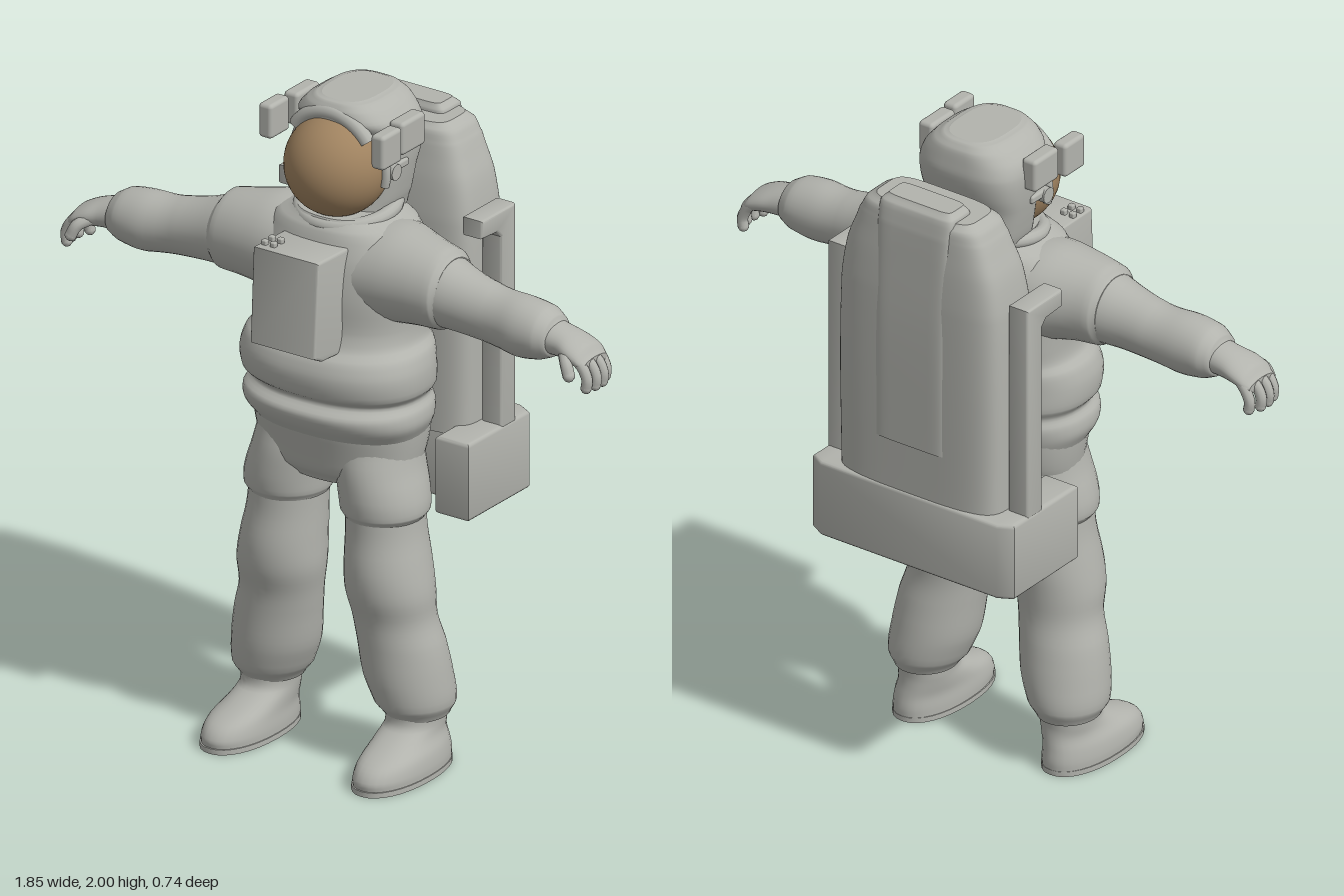
import * as THREE from 'three';
import { toCreasedNormals } from 'three/addons/utils/BufferGeometryUtils.js';
import { RoundedBoxGeometry } from 'three/addons/geometries/RoundedBoxGeometry.js';

const fabric = new THREE.MeshStandardMaterial({ color: 0xb2b3ad });
fabric.name = 'suit grey';
const gold = new THREE.MeshStandardMaterial({ color: 0xa08360 });
gold.name = 'visor gold';

// Closed loft through superellipse sections, splined along the axis.
// Axis y rows: [y, centreX, centreZ, halfX, halfZ]; axis x rows: [x, centreY, centreZ, halfY, halfZ]
function loft(rows, { axis = 'y', n = 2, seg = 32, steps = 4 } = {}) {
  const rings = [];
  const spline = (a, b, c, d, t) => {
    const m0 = (c - a) / 2, m1 = (d - b) / 2, t2 = t * t, t3 = t2 * t;
    return (2 * t3 - 3 * t2 + 1) * b + (t3 - 2 * t2 + t) * m0 + (3 * t2 - 2 * t3) * c + (t3 - t2) * m1;
  };
  for (let i = 0; i < rows.length - 1; i++) {
    const [a, b, c, d] = [rows[Math.max(i - 1, 0)], rows[i], rows[i + 1], rows[Math.min(i + 2, rows.length - 1)]];
    for (let s = 0; s < steps; s++) {
      const t = s / steps;
      rings.push(b.map((v, k) => k === 0 ? v + (c[0] - v) * t : spline(a[k], v, c[k], d[k], t)));
    }
  }
  rings.push(rows[rows.length - 1]);
  const pos = [], idx = [];
  const pw = v => Math.sign(v) * Math.pow(Math.abs(v), 2 / n);
  const put = (l, u, v) => axis === 'y' ? pos.push(u, l, v) : pos.push(l, u, v);
  const ring = ([l, cu, cv, ru, rv]) => {
    for (let j = 0; j < seg; j++) {
      const t = j / seg * Math.PI * 2;
      put(l, cu + ru * pw(Math.cos(t)), cv + rv * pw(Math.sin(t)));
    }
  };
  const tri = (a, b, c) => axis === 'y' ? idx.push(a, b, c) : idx.push(a, c, b);
  rings.forEach(ring);
  for (let i = 0; i < rings.length - 1; i++) for (let j = 0; j < seg; j++) {
    const a = i * seg + j, b = i * seg + (j + 1) % seg;
    tri(a, a + seg, b);
    tri(b, a + seg, b + seg);
  }
  // end caps with their own vertices
  [rings[0], rings[rings.length - 1]].forEach((r, e) => {
    const base = pos.length / 3;
    ring(r);
    put(r[0], r[1], r[2]);
    for (let j = 0; j < seg; j++) {
      const a = base + j, b = base + (j + 1) % seg;
      e ? tri(b, a, base + seg) : tri(a, b, base + seg);
    }
  });
  const g = new THREE.BufferGeometry();
  g.setAttribute('position', new THREE.Float32BufferAttribute(pos, 3));
  g.setIndex(idx);
  g.computeVertexNormals();
  return g;
}

// Mirror across x and restore the winding
function mirror(geo) {
  const g = geo.index ? geo.toNonIndexed() : geo.clone();
  for (const key of ['position', 'normal']) {
    const a = g.attributes[key];
    for (let i = 0; i < a.count; i += 3) {
      const v = [0, 2, 1].map(k => [-a.getX(i + k), a.getY(i + k), a.getZ(i + k)]);
      v.forEach((p, k) => a.setXYZ(i + k, ...p));
    }
  }
  return g;
}

const box = (w, h, d, x, y, z, r = 0.012) => new RoundedBoxGeometry(w, h, d, 3, r).translate(x, y, z);

// Extruded outline with a bevel, centred on its depth
function slab(points, depth, bevel) {
  const shape = new THREE.Shape(points.map(p => new THREE.Vector2(...p)));
  const g = new THREE.ExtrudeGeometry(shape, {
    depth: depth - 2 * bevel, bevelSize: bevel, bevelThickness: bevel, bevelOffset: -bevel, bevelSegments: 3,
  });
  g.translate(0, 0, bevel - depth / 2);
  return toCreasedNormals(g, 0.6);
}

export function createModel() {
  const root = new THREE.Group();
  root.name = 'astronaut';
  const add = (name, geo, mat = fabric) => {
    const m = new THREE.Mesh(geo, mat);
    m.name = name;
    root.add(m);
  };
  const pair = (name, geo) => {
    add(name + 'Left', geo);
    add(name + 'Right', mirror(geo));
  };

  // Torso with waist folds, and hips
  add('torso', loft([
    [1.665, 0, 0.045, 0.14, 0.14], [1.63, 0, 0.05, 0.21, 0.16], [1.55, 0, 0.055, 0.255, 0.18],
    [1.45, 0, 0.06, 0.255, 0.19], [1.35, 0, 0.06, 0.25, 0.19], [1.3, 0, 0.07, 0.255, 0.195],
    [1.27, 0, 0.085, 0.28, 0.21], [1.22, 0, 0.095, 0.293, 0.215], [1.16, 0, 0.09, 0.29, 0.21],
    [1.13, 0, 0.08, 0.27, 0.19], [1.1, 0, 0.09, 0.285, 0.21], [1.06, 0, 0.09, 0.287, 0.2],
    [1.02, 0, 0.08, 0.268, 0.18], [0.98, 0, 0.07, 0.25, 0.16],
  ].reverse(), { n: 2.3, seg: 48 }));
  add('hips', loft([
    [0.86, 0, 0.09, 0.15, 0.11], [0.9, 0, 0.085, 0.24, 0.145], [0.96, 0, 0.075, 0.26, 0.17], [1.05, 0, 0.075, 0.27, 0.19],
  ], { n: 2.3, seg: 48 }));

  // Trousers, legs, boots
  pair('thighCover', loft([
    [0.765, 0.165, 0.1, 0.115, 0.12], [0.785, 0.166, 0.1, 0.128, 0.132], [0.84, 0.16, 0.098, 0.128, 0.14],
    [0.92, 0.142, 0.09, 0.122, 0.145], [1, 0.13, 0.08, 0.12, 0.14],
  ]));
  pair('leg', loft([
    [0.16, 0.25, 0.06, 0.09, 0.1], [0.2, 0.245, 0.065, 0.116, 0.122], [0.28, 0.227, 0.075, 0.13, 0.127],
    [0.38, 0.212, 0.085, 0.13, 0.12], [0.46, 0.195, 0.095, 0.125, 0.115], [0.54, 0.187, 0.105, 0.131, 0.126],
    [0.62, 0.18, 0.105, 0.125, 0.13], [0.72, 0.17, 0.1, 0.115, 0.122], [0.82, 0.165, 0.1, 0.112, 0.12],
  ]));
  pair('boot', loft([
    [0.012, 0.262, 0.153, 0.093, 0.197], [0.04, 0.262, 0.153, 0.093, 0.197], [0.075, 0.26, 0.14, 0.088, 0.178],
    [0.11, 0.252, 0.1, 0.08, 0.132], [0.14, 0.25, 0.07, 0.078, 0.1], [0.19, 0.25, 0.065, 0.08, 0.1],
  ], { n: 2.2 }));
  pair('sole', loft([[0, 0.262, 0.155, 0.096, 0.2], [0.016, 0.262, 0.155, 0.096, 0.2]], { n: 2.2, steps: 1 }));

  // Shoulders, arms, hands
  pair('shoulder', loft([
    [0.08, 1.5, 0.055, 0.14, 0.17], [0.2, 1.505, 0.065, 0.145, 0.155], [0.3, 1.505, 0.08, 0.13, 0.13],
    [0.375, 1.5, 0.085, 0.12, 0.115], [0.395, 1.497, 0.085, 0.1, 0.1],
  ], { axis: 'x' }));
  pair('arm', loft([
    [0.36, 1.497, 0.085, 0.108, 0.105], [0.45, 1.482, 0.09, 0.094, 0.09], [0.53, 1.47, 0.092, 0.087, 0.083],
    [0.58, 1.464, 0.095, 0.086, 0.083], [0.65, 1.46, 0.1, 0.09, 0.088], [0.72, 1.46, 0.1, 0.08, 0.084],
    [0.755, 1.457, 0.1, 0.062, 0.068], [0.765, 1.456, 0.1, 0.045, 0.05],
  ], { axis: 'x' }));
  pair('glove', loft([
    [0.74, 1.456, 0.1, 0.05, 0.06], [0.79, 1.45, 0.1, 0.044, 0.062], [0.83, 1.442, 0.103, 0.038, 0.07],
    [0.87, 1.428, 0.104, 0.032, 0.07], [0.895, 1.413, 0.104, 0.018, 0.058],
  ], { axis: 'x' }));
  const digit = (name, pts, r) => {
    const curve = new THREE.CatmullRomCurve3(pts.map(p => new THREE.Vector3(...p)));
    pair(name, new THREE.TubeGeometry(curve, 10, r, 10));
    pair(name + 'Tip', new THREE.SphereGeometry(r, 10, 8).translate(...pts[pts.length - 1]));
  };
  [0.05, 0.085, 0.12, 0.153].forEach((z, i) => {
    const reach = [-0.015, 0, 0, -0.008][i];
    digit('finger' + (i + 1), [[0.86, 1.43, z], [0.893 + reach, 1.408, z], [0.908 + reach, 1.375, z], [0.905 + reach, 1.35, z]], 0.0165);
  });
  digit('thumb', [[0.81, 1.44, 0.14], [0.845, 1.42, 0.178], [0.86, 1.39, 0.186]], 0.018);

  // Helmet, visor, rim, collar
  add('helmet', loft([
    [1.65, 0, -0.01, 0.13, 0.11], [1.7, 0, -0.015, 0.145, 0.105], [1.78, 0, -0.02, 0.16, 0.105],
    [1.84, 0, -0.03, 0.168, 0.115], [1.9, 0, -0.025, 0.17, 0.13], [1.94, 0, -0.005, 0.16, 0.145],
    [1.975, 0, -0.002, 0.13, 0.14], [1.995, 0, 0, 0.1, 0.125], [2, 0, 0, 0.08, 0.11],
  ], { n: 2.9, seg: 48 }));
  add('visor', new THREE.SphereGeometry(0.153, 40, 28).translate(0, 1.8, 0.1), gold);
  add('visorRim', new THREE.TorusGeometry(0.158, 0.014, 10, 40, Math.PI * 1.16).rotateZ(-Math.PI * 0.08).translate(0, 1.8, 0.085));
  add('brim', new THREE.TorusGeometry(0.152, 0.022, 10, 32, Math.PI * 0.6).rotateZ(Math.PI * 0.2).translate(0, 1.812, 0.125));
  add('collar', new THREE.TorusGeometry(0.138, 0.022, 12, 40).rotateX(Math.PI / 2 + 0.15).translate(0, 1.66, 0.045));
  pair('lampArm', box(0.05, 0.1, 0.115, 0.182, 1.91, 0.015));
  pair('lamp', box(0.046, 0.105, 0.095, 0.194, 1.907, 0.135));
  pair('earKnob', new THREE.CylinderGeometry(0.024, 0.024, 0.03, 16).rotateZ(Math.PI / 2).translate(0.163, 1.8, 0.06));
  pair('earStrap', box(0.02, 0.025, 0.07, 0.163, 1.81, 0.025, 0.008));

  // Chest control unit
  const chest = slab([[0.15, 1.6], [0.355, 1.605], [0.37, 1.315], [0.33, 1.295], [0.15, 1.285]], 0.225, 0.008);
  add('chestUnit', chest.rotateY(-Math.PI / 2));
  [-0.095, -0.065].forEach(x => [0.285, 0.32].forEach(z => add('chestSwitch', box(0.018, 0.018, 0.018, x, 1.609, z, 0.004))));

  // Backpack: main shell, rear hump, U-shaped base, side rails
  add('backpack', loft([
    [0.94, 0, -0.235, 0.28, 0.125], [1.3, 0, -0.235, 0.285, 0.127], [1.58, 0, -0.235, 0.28, 0.125],
    [1.7, 0, -0.238, 0.26, 0.115], [1.8, 0, -0.243, 0.222, 0.1], [1.84, 0, -0.245, 0.2, 0.092], [1.86, 0, -0.245, 0.17, 0.075],
  ], { n: 4.5, seg: 64 }));
  add('backpackHump', loft([
    [1.12, 0, -0.3, 0.13, 0.066], [1.5, 0, -0.3, 0.13, 0.066], [1.8, 0, -0.29, 0.13, 0.062],
    [1.865, 0, -0.285, 0.128, 0.055], [1.885, 0, -0.28, 0.11, 0.04],
  ], { n: 7, seg: 64 }));
  // outline drawn in x and -z, then laid flat
  const base = slab([
    [-0.355, 0.04], [-0.24, 0.04], [-0.24, 0.14], [0.24, 0.14], [0.24, 0.04], [0.355, 0.04],
    [0.355, 0.34], [0.31, 0.365], [-0.31, 0.365], [-0.355, 0.34],
  ], 0.24, 0.012);
  add('backpackBase', base.rotateX(-Math.PI / 2).translate(0, 0.847, 0));
  const rail = slab([
    [-0.275, 0.95], [-0.275, 1.63], [-0.11, 1.63], [-0.11, 1.575], [-0.185, 1.57], [-0.205, 1.55], [-0.205, 0.95],
  ], 0.07, 0.008);
  pair('sideRail', rail.rotateY(-Math.PI / 2).translate(0.318, 0, 0));
  return root;
}
